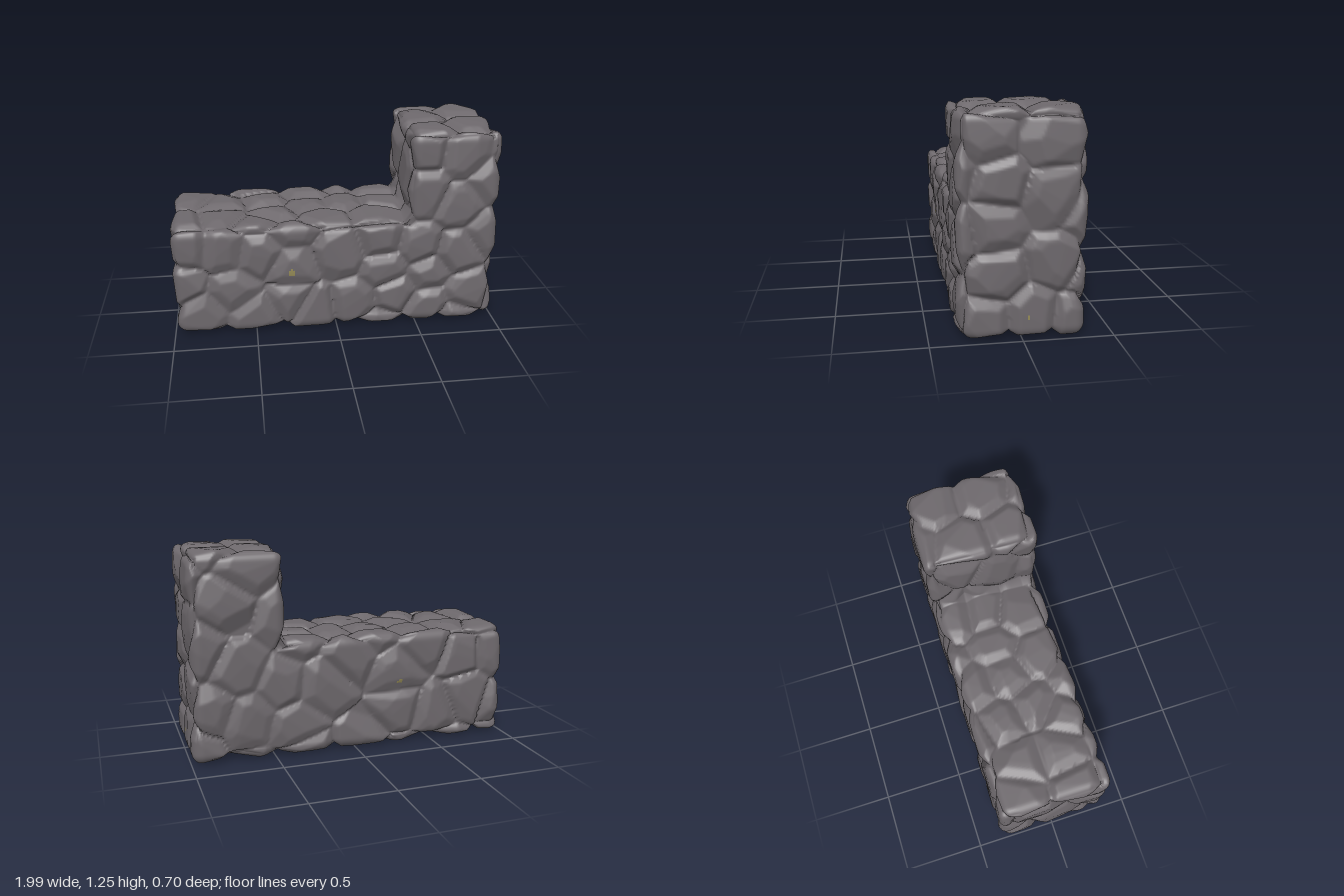
import * as THREE from 'three';

// Lattice of the L-shaped block: a long low wall with a tower at its left end
const NX = 168, NY = 105, NZ = 60;
const WALL_TOP = 60, TOWER_START = 120;
const SIZE = new THREE.Vector3(1.99, 1.245, 0.705);
const ROUND = 0.07;

const inside = (i, j, k) =>
  i >= 0 && i < NX && j >= 0 && j < NY && k >= 0 && k < NZ && (j < WALL_TOP || i >= TOWER_START);

const place = (i, j, k) => new THREE.Vector3(
  (i / NX - 0.5) * SIZE.x, (j / NY) * SIZE.y, (k / NZ - 0.5) * SIZE.z);

const top = SIZE.y * WALL_TOP / NY, towerX = place(TOWER_START, 0, 0).x;
const halfX = SIZE.x / 2, halfZ = SIZE.z / 2;

// Middles of the main stones on the front (x, y), tower side (z, y) and tops (x, z)
const FRONT = [
  [-0.9, 0.57], [-0.69, 0.56], [-0.47, 0.52], [-0.27, 0.41], [0.02, 0.48], [0.28, 0.56], [0.5, 0.52],
  [0.75, 0.78], [0.52, 0.87], [0.76, 1.1], [0.52, 1.13], [0.93, 0.92], [0.75, 0.47], [0.94, 0.6],
  [0.83, 0.19], [0.57, 0.1], [0.37, 0.21], [0.3, 0.38], [0.1, 0.17], [-0.14, 0.14], [-0.5, 0.1],
  [-0.83, 0.14], [-0.64, 0.29], [-0.28, 0.22], [-0.93, 0.35], [0.57, 0.34],
];
const SIDE = [
  [0.2, 1.08], [-0.15, 1.08], [-0.17, 0.78], [0.17, 0.63], [0.14, 0.86], [0.15, 0.35],
  [-0.2, 0.43], [-0.06, 0.12], [0.2, 0.11], [-0.29, 0.1],
];
const TOPS = [
  [-0.88, -0.2], [-0.7, -0.12], [-0.92, 0.15], [-0.7, 0.12], [-0.4, -0.15], [-0.36, 0.07], [-0.15, -0.25],
  [0.08, -0.04], [-0.06, 0.17], [0.31, -0.04], [0.24, 0.15], [0.33, -0.24], [0.56, -0.08], [0.57, 0.2],
  [0.85, -0.18], [0.83, 0.1],
];

function seeded(seed) {
  return () => {
    seed = (seed + 0x6d2b79f5) | 0;
    let t = Math.imul(seed ^ (seed >>> 15), 1 | seed);
    t = (t + Math.imul(t ^ (t >>> 7), 61 | t)) ^ t;
    return ((t ^ (t >>> 14)) >>> 0) / 4294967296;
  };
}

// Outer skin of the lattice as shared points and quads
function buildSkin() {
  const points = [], quads = [], ids = new Map();
  const id = (c) => {
    const key = c.join();
    if (!ids.has(key)) { ids.set(key, points.length); points.push(place(...c)); }
    return ids.get(key);
  };
  for (let i = 0; i < NX; i++) for (let j = 0; j < NY; j++) for (let k = 0; k < NZ; k++) {
    if (!inside(i, j, k)) continue;
    for (let axis = 0; axis < 3; axis++) for (const dir of [-1, 1]) {
      const next = [i, j, k];
      next[axis] += dir;
      if (inside(...next)) continue;
      const u = (axis + 1) % 3, v = (axis + 2) % 3;
      const quad = [[0, 0], [1, 0], [1, 1], [0, 1]].map(([a, b]) => {
        const c = [i, j, k];
        if (dir > 0) c[axis]++;
        c[u] += a;
        c[v] += b;
        return id(c);
      });
      quads.push(dir > 0 ? quad : quad.reverse());
    }
  }
  return { points, quads };
}

// Stones of mixed size, each with its own tilt and chipped facets; small ones fill the gaps
function scatterStones(points, rand) {
  const stones = [];
  const direction = () => new THREE.Vector3(rand() - 0.5, rand() - 0.5, rand() - 0.5).normalize();
  const addStone = (centre) => stones.push({
    centre,
    tilt: direction().multiplyScalar(0.1),
    bevel: 0.04 + 0.035 * rand(),
    depth: 0.02 + 0.018 * rand(),
    chips: Array.from({ length: 7 }, () => ({
      dir: direction(), start: 0.05 + 0.05 * rand(), slope: 0.15 + 0.3 * rand() })),
  });
  FRONT.forEach(([x, y]) => addStone(new THREE.Vector3(x, y, halfZ)));
  SIDE.forEach(([z, y]) => addStone(new THREE.Vector3(halfX, y, z)));
  TOPS.forEach(([x, z]) => addStone(new THREE.Vector3(x, x > towerX ? SIZE.y : top, z)));
  for (let n = 0; n < 1500; n++) {
    const centre = points[Math.floor(rand() * points.length)];
    const gap = 0.19 + 0.14 * rand();
    if (stones.every((s) => s.centre.distanceTo(centre) > gap)) addStone(centre);
  }
  return stones;
}

// How far the skin sinks at p: flat stone tops, bevelled sides, grooves between
function recess(p, stones) {
  let best = stones[0], bestD = Infinity;
  for (const s of stones) {
    const d = s.centre.distanceToSquared(p);
    if (d < bestD) { bestD = d; best = s; }
  }
  let edge = Infinity;
  for (const s of stones) {
    if (s === best) continue;
    const gap = s.centre.distanceTo(best.centre);
    if (gap < 0.9) edge = Math.min(edge, (s.centre.distanceToSquared(p) - bestD) / (2 * gap));
  }
  const local = p.clone().sub(best.centre);
  let sink = Math.max(0, local.dot(best.tilt));
  for (const c of best.chips) sink = Math.max(sink, c.slope * (local.dot(c.dir) - c.start));
  const side = best.depth * Math.max(0, 1 - edge / best.bevel);
  return Math.min(0.045, Math.max(sink, side + 0.4 * sink));
}

// Rounded corners: push out from the nearest of two inset boxes
const cores = [
  new THREE.Box3(new THREE.Vector3(-halfX, 0, -halfZ), new THREE.Vector3(halfX, top, halfZ)),
  new THREE.Box3(new THREE.Vector3(towerX, 0, -halfZ), new THREE.Vector3(halfX, SIZE.y, halfZ)),
].map((box) => box.expandByScalar(-ROUND));

function shapePoint(p, stones) {
  const [a, b] = cores.map((box) => box.clampPoint(p, new THREE.Vector3()));
  const core = a.distanceTo(p) <= b.distanceTo(p) ? a : b;
  const normal = p.clone().sub(core).normalize();
  return core.addScaledVector(normal, ROUND - recess(p, stones));
}

// Small lichen flecks on the front, back and tower side
const flecks = [
  { at: new THREE.Vector3(-0.28, 0.4, halfZ), radius: 0.021 },
  { at: new THREE.Vector3(-0.28, 0.4, -halfZ), radius: 0.014 },
  { at: new THREE.Vector3(halfX, 0.13, -0.03), radius: 0.01 },
];

export function createModel() {
  const stoneMaterial = new THREE.MeshStandardMaterial({ color: 0x6d686c });
  stoneMaterial.name = 'darkStone';
  const lichenMaterial = new THREE.MeshStandardMaterial({ color: 0x948a56 });
  lichenMaterial.name = 'lichen';

  const { points, quads } = buildSkin();
  const stones = scatterStones(points, seeded(29));
  const shaped = points.map((p) => shapePoint(p, stones));

  // Lichen quads go last, in their own material group
  const plain = [], fleck = [];
  for (const [a, b, c, d] of quads) {
    const mid = points[a].clone().add(points[c]).multiplyScalar(0.5);
    const list = flecks.some((f) => f.at.distanceTo(mid) < f.radius) ? fleck : plain;
    list.push(a, b, c, a, c, d);
  }
  const geometry = new THREE.BufferGeometry().setFromPoints(shaped);
  geometry.setIndex([...plain, ...fleck]);
  geometry.addGroup(0, plain.length, 0);
  geometry.addGroup(plain.length, fleck.length, 1);
  geometry.computeVertexNormals();

  const wall = new THREE.Mesh(geometry, [stoneMaterial, lichenMaterial]);
  wall.name = 'stoneWall';
  const group = new THREE.Group();
  group.name = 'stoneWallCorner';
  group.add(wall);
  return group;
}
